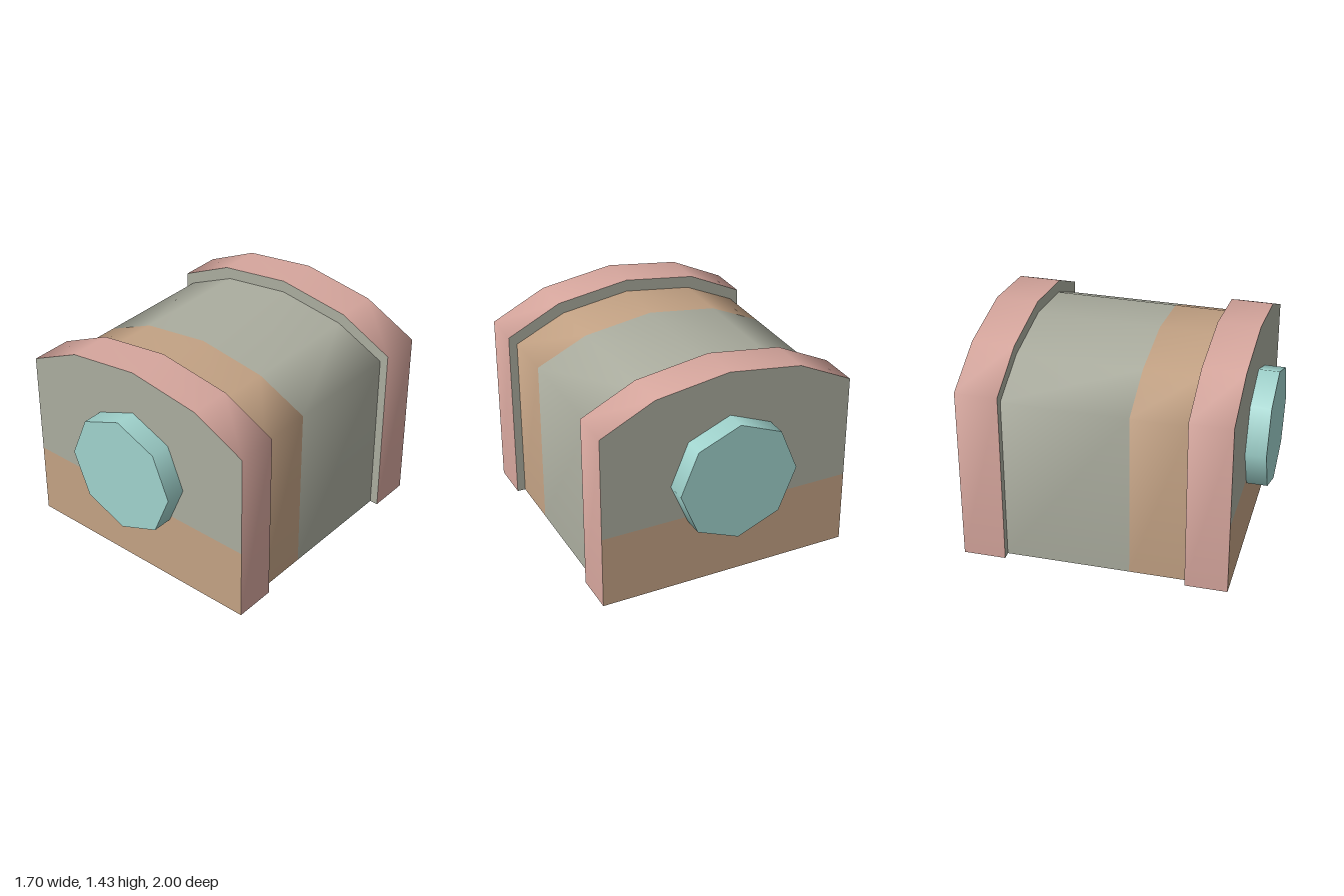
import * as THREE from 'three';

const material = (name, color) => {
  const m = new THREE.MeshStandardMaterial({ color, side: THREE.DoubleSide });
  m.name = name;
  return m;
};

// Arched outlines, from the bottom of the +x side over the top to the -x side
const arch = (half) => {
  const right = half.map(([x, y]) => [x, y]);
  const left = half.slice(0, -1).reverse().map(([x, y]) => [-x, y]);
  return [...right, ...left];
};
const PLATE = arch([[0.85, 0], [0.85, 1.185], [0.49, 1.36], [0, 1.43]]);
const BODY = arch([[0.795, 0], [0.795, 1.13], [0.46, 1.285], [0, 1.35]]);

// Open smooth shell that follows an outline between two depths
function shell(outline, z0, z1) {
  const position = [], index = [];
  outline.forEach(([x, y], i) => {
    position.push(x, y, z1, x, y, z0);
    if (i < outline.length - 1) {
      const a = 2 * i;
      index.push(a, a + 1, a + 3, a, a + 3, a + 2);
    }
  });
  const g = new THREE.BufferGeometry();
  g.setAttribute('position', new THREE.Float32BufferAttribute(position, 3));
  g.setIndex(index);
  g.computeVertexNormals();
  return g;
}

// Flat face from an outline at one depth
function face(points, z) {
  const shape = new THREE.Shape(points.map(([x, y]) => new THREE.Vector2(x, y)));
  return new THREE.ShapeGeometry(shape).translate(0, 0, z);
}

export function createModel() {
  const model = new THREE.Group();
  model.name = 'archedHousing';

  const grey = material('stone grey', 0xabad9f);
  const tan = material('tan', 0xc3a284);
  const pink = material('dusty pink', 0xd6a69d);
  const teal = material('pale teal', 0xa0d3cd);

  const add = (parent, name, geometry, mat) => {
    const mesh = new THREE.Mesh(geometry, mat);
    mesh.name = name;
    parent.add(mesh);
    return mesh;
  };

  // Hollow body, open underneath, with a tan band at the front
  add(model, 'bodyShell', shell(BODY, -0.59, 0.22), grey);
  add(model, 'bodyBand', shell(BODY, 0.22, 0.59), tan);

  // Hollow end caps: rim, two-tone outer face and the step down to the body
  const split = 0.49;
  const upper = [[0.85, split], ...PLATE.slice(1, -1), [-0.85, split]];
  const lower = [[-0.85, 0], [0.85, 0], [0.85, split], [-0.85, split]];
  const step = [...PLATE, ...[...BODY].reverse()];
  for (const [name, turn] of [['frontCap', 0], ['backCap', Math.PI]]) {
    const cap = new THREE.Group();
    cap.name = name;
    cap.rotation.y = turn;
    add(cap, 'capRim', shell(PLATE, 0.59, 0.865), pink);
    add(cap, 'capUpperFace', face(upper, 0.865), grey);
    add(cap, 'capLowerFace', face(lower, 0.865), tan);
    add(cap, 'capStep', face(step, 0.59), grey);
    model.add(cap);
  }

  // Eight-sided axle through the whole housing
  const axle = add(model, 'axle', new THREE.CylinderGeometry(0.398, 0.398, 2, 8), teal);
  axle.rotation.x = Math.PI / 2;
  axle.position.set(-0.01, 0.738, 0);

  return model;
}
